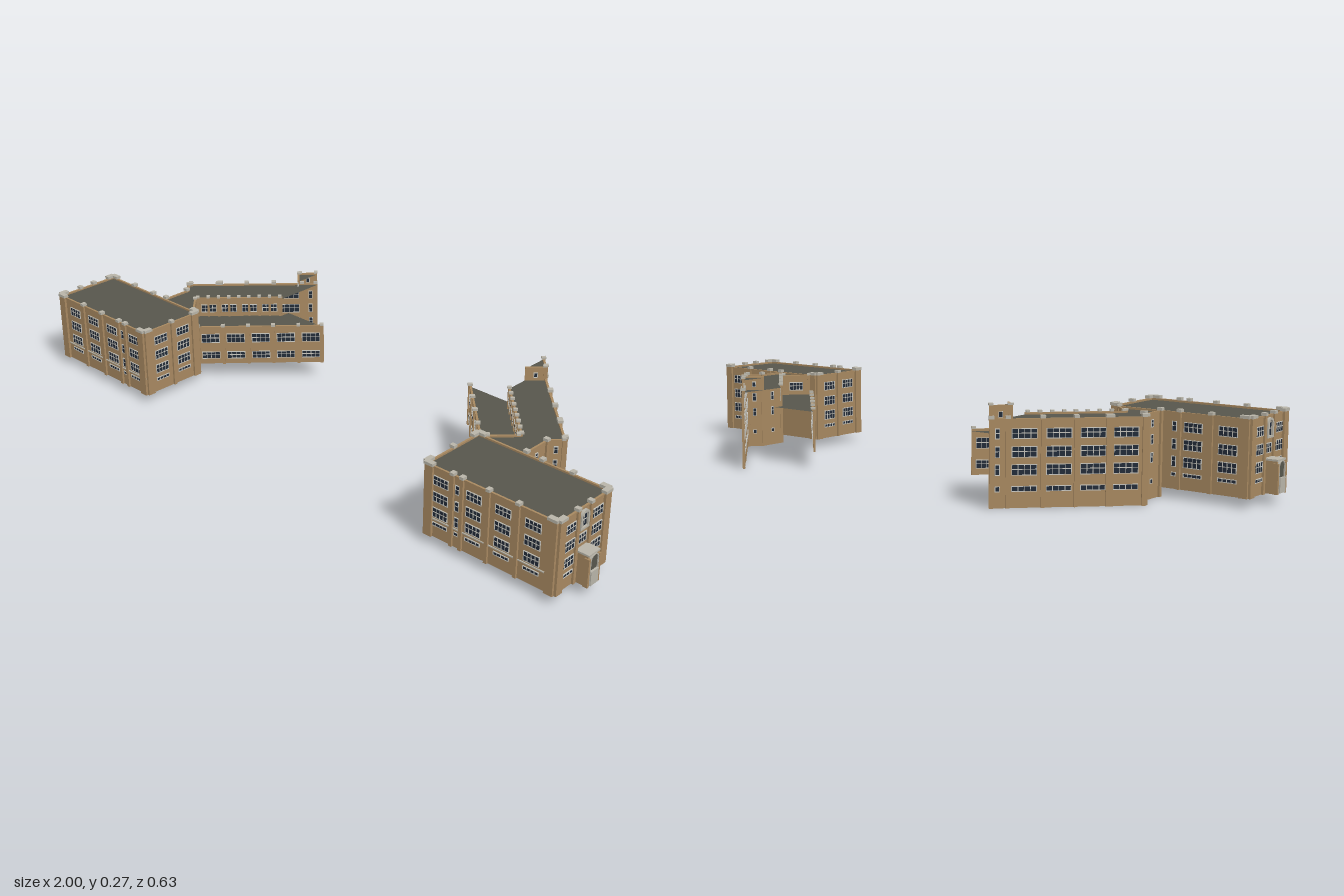
import * as THREE from 'three';
import { mergeGeometries } from 'three/addons/utils/BufferGeometryUtils.js';

const mat = (name, color, side = THREE.FrontSide) => {
  const m = new THREE.MeshStandardMaterial({ color, side });
  m.name = name;
  return m;
};

// Four storeys of windows as [bottom, height]
const BLOCK_ROWS = [[0.06, 0.009], [0.085, 0.027], [0.131, 0.027], [0.179, 0.025]];
const WING_ROWS = [[0.043, 0.013], [0.085, 0.027], [0.131, 0.027], [0.179, 0.025]];
const LOW_ROWS = [[0.068, 0.022], [0.122, 0.028]];
const TOP_ROW = [[0.183, 0.024]];

export function createModel() {
  const materials = {
    brick: mat('tan brick', 0xa78860, THREE.DoubleSide),
    roof: mat('grey roof', 0x57564c, THREE.DoubleSide),
    stone: mat('pale stone', 0xb8b4a8),
    frame: mat('window frame', 0xc4c2ba),
    glass: mat('dark glass', 0x222b38),
  };
  const parts = {};
  const add = (name, material, geometry) => {
    const g = geometry.index ? geometry.toNonIndexed() : geometry;
    (parts[name] ??= { material, list: [] }).list.push(g);
  };

  // A facade runs from a to b in plan, with its outside on the right hand of travel
  function facade(a, b, y0, y1) {
    const dx = b[0] - a[0], dz = b[1] - a[1], len = Math.hypot(dx, dz);
    const u = new THREE.Vector3(dx / len, 0, dz / len);
    const n = new THREE.Vector3(-u.z, 0, u.x);
    const basis = new THREE.Matrix4().makeBasis(u, new THREE.Vector3(0, 1, 0), n);
    basis.setPosition(a[0], 0, a[1]);
    const place = (name, material, g) => add(name, material, g.applyMatrix4(basis));
    // Box centred at u, standing on y, from depth d0 to d1 along the normal
    const box = (name, material, cu, y, w, h, d0, d1) =>
      place(name, material, new THREE.BoxGeometry(w, h, d1 - d0).translate(cu, y + h / 2, (d0 + d1) / 2));
    place('walls', 'brick', new THREE.PlaneGeometry(len, y1 - y0).translate(len / 2, (y0 + y1) / 2, 0));

    const f = {
      len, place, box,
      coping() {
        box('coping', 'brick', len / 2, y1 - 0.005, len, 0.005, -0.004, 0.002);
        return f;
      },
      window(cu, y, w, h, cols) {
        const t = 0.0018;
        box('windowGlass', 'glass', cu, y, w, h, -0.0015, 0.0015);
        for (let i = 0; i <= cols; i++) {
          box('windowFrames', 'frame', cu - w / 2 + (w * i) / cols, y, t, h, -0.0025, 0.0025);
        }
        const bars = h > 0.015 ? [0, 0.55, 1] : [0, 1];
        for (const k of bars) box('windowFrames', 'frame', cu, y + h * k - t / 2, w + t, t, -0.0025, 0.0025);
      },
      windows(centres, rows, w, cols = 4) {
        for (const cu of centres) for (const [y, h] of rows) f.window(cu, y, w, h, cols);
        return f;
      },
      piers(centres, w = 0.01, d = 0.006, cap = 0.008) {
        for (const cu of centres) {
          box('piers', 'brick', cu, y0, w, y1 - y0, -0.001, d);
          box('pierCaps', 'stone', cu, y1, w + 0.003, cap, -0.007, d + 0.002);
        }
        return f;
      },
    };
    return f.coping();
  }

  function roof(name, points, y) {
    const shape = new THREE.Shape(points.map(([x, z]) => new THREE.Vector2(x, -z)));
    add(name, 'roof', new THREE.ShapeGeometry(shape).rotateX(-Math.PI / 2).translate(0, y, 0));
  }

  // Round-headed thin panel, centred at u = 0 and standing on y = 0
  function arch(w, h, depth, hole = 0) {
    const outline = (P, r, base) => {
      const p = new P();
      p.moveTo(-r, base);
      p.lineTo(r, base);
      p.lineTo(r, h - w / 2);
      p.absarc(0, h - w / 2, r, 0, Math.PI, false);
      p.closePath();
      return p;
    };
    const s = outline(THREE.Shape, w / 2, 0);
    if (hole) s.holes.push(outline(THREE.Path, w / 2 - hole, hole));
    return new THREE.ExtrudeGeometry(s, { depth, bevelEnabled: false, curveSegments: 10 });
  }

  // Main block
  const A = [0.55, 0.31], B = [0.955, 0.31], C = [0.955, 0.105], D = [0.55, 0.105];
  const front = facade(A, B, 0.025, 0.23)
    .windows([0.05, 0.155, 0.245, 0.335], BLOCK_ROWS, 0.046)
    .windows([0.103], BLOCK_ROWS, 0.012, 1)
    .piers([0.088, 0.118, 0.2, 0.29])
    .piers([0.013, 0.392], 0.026, 0.007);
  front.box('stringCourse', 'stone', front.len / 2, 0.077, front.len, 0.003, 0, 0.003);
  const side = facade(B, C, 0.025, 0.23)
    .windows([0.046, 0.156], BLOCK_ROWS, 0.046)
    .piers([0.075, 0.127])
    .piers([0.012, 0.193], 0.024, 0.007);
  facade(C, D, 0.025, 0.23)
    .windows([0.06, 0.16], BLOCK_ROWS, 0.052)
    .windows([0.215], BLOCK_ROWS, 0.012, 1)
    .piers([0.108, 0.2])
    .piers([0.012, 0.393], 0.024, 0.006);
  facade(D, A, 0.025, 0.23)
    .windows([0.06, 0.145], BLOCK_ROWS, 0.046)
    .piers([0.1])
    .piers([0.012, 0.193], 0.024, 0.006);
  roof('blockRoof', [A, B, C, D], 0.224);

  // Arched stair window and the window beneath it
  const mid = 0.101;
  side.place('stairWindowSurround', 'stone', arch(0.034, 0.053, 0.007, 0.006).translate(mid, 0.17, 0));
  side.window(mid, 0.174, 0.024, 0.036, 2);
  side.window(mid, 0.131, 0.03, 0.025, 3);

  // Entrance porch with a round-headed doorway
  side.box('porch', 'brick', mid, 0.028, 0.042, 0.086, 0, 0.036);
  side.box('porchCap', 'stone', mid, 0.114, 0.046, 0.005, 0, 0.04);
  for (const s of [-1, 1]) side.box('porch', 'brick', mid + s * 0.021, 0.028, 0.007, 0.08, 0.028, 0.042);
  side.place('porchSurround', 'stone', arch(0.034, 0.086, 0.006, 0.003).translate(mid, 0.03, 0.036));
  side.place('porchArch', 'roof', arch(0.029, 0.08, 0.003).translate(mid, 0.033, 0.036));
  side.box('porchDoor', 'stone', mid, 0.031, 0.03, 0.04, 0.036, 0.045);

  // Tall angled wing
  const E = [0.7, 0.105], F = [0.7, 0.01], G = [0.732, -0.022], H = [0.445, -0.309];
  const I = [0.445, -0.155], J = [0.635, 0.035], K = [0.568, 0.102];
  const narrowRows = [[0.042, 0.011], [0.098, 0.025], [0.146, 0.025], [0.191, 0.019]];
  facade(E, F, 0, 0.23).windows([0.048], narrowRows, 0.01, 1).piers([0.006, 0.09]);
  facade(F, G, 0, 0.23).windows([0.022], narrowRows, 0.01, 1).piers([0.041], 0.008);
  facade(G, H, 0, 0.23)
    .windows([0.053, 0.138, 0.226, 0.315], WING_ROWS, 0.064)
    .windows([0.384], WING_ROWS, 0.011, 1)
    .piers([0.006, 0.091, 0.1, 0.182, 0.268, 0.358, 0.4]);
  facade(I, J, 0.165, 0.23)
    .windows([0.04, 0.103, 0.166, 0.229], TOP_ROW, 0.045)
    .piers([0.008, 0.04, 0.072, 0.104, 0.135, 0.166, 0.198, 0.23, 0.262], 0.007, 0.003, 0.006);
  facade(J, K, 0.165, 0.23).windows([0.047], TOP_ROW, 0.04).piers([0.008, 0.087], 0.007, 0.003, 0.006);
  roof('wingRoof', [K, E, F, G, H, I, J], 0.224);

  // Stair tower at the end of the wing
  const T = [0.487, -0.267], V = [0.445, -0.225];
  facade(V, T, 0.22, 0.265).windows([0.03], [[0.234, 0.014]], 0.01, 1).piers([0.055], 0.008, 0.002, 0.005);
  facade(T, H, 0.22, 0.265).windows([0.03], [[0.234, 0.014]], 0.01, 1).piers([0.006, 0.055], 0.009, 0.004, 0.005);
  roof('towerRoof', [V, T, H], 0.26);

  // Low inner range
  const L = [0.29, -0.18], M = [0.445, -0.18];
  facade(L, K, 0.05, 0.175)
    .windows([0.04, 0.117, 0.194, 0.271, 0.348], LOW_ROWS, 0.054)
    .piers([0.006, 0.078, 0.155, 0.232, 0.309, 0.386], 0.009, 0.005, 0.006);
  roof('lowRoof', [K, J, I, M, L], 0.168);

  // Two mirrored halves
  const model = new THREE.Group();
  model.name = 'twinSchoolWings';
  const halves = ['left', 'right'].map((sideName) => {
    const g = new THREE.Group();
    g.name = sideName + 'Building';
    model.add(g);
    return g;
  });
  for (const [name, { material, list }] of Object.entries(parts)) {
    const geometry = mergeGeometries(list);
    const mirrored = geometry.clone().scale(-1, 1, 1);
    const index = [];
    for (let i = 0; i < mirrored.attributes.position.count; i += 3) index.push(i, i + 2, i + 1);
    mirrored.setIndex(index);
    [geometry, mirrored].forEach((g, i) => {
      const mesh = new THREE.Mesh(g, materials[material]);
      mesh.name = name;
      halves[i].add(mesh);
    });
  }
  return model;
}
